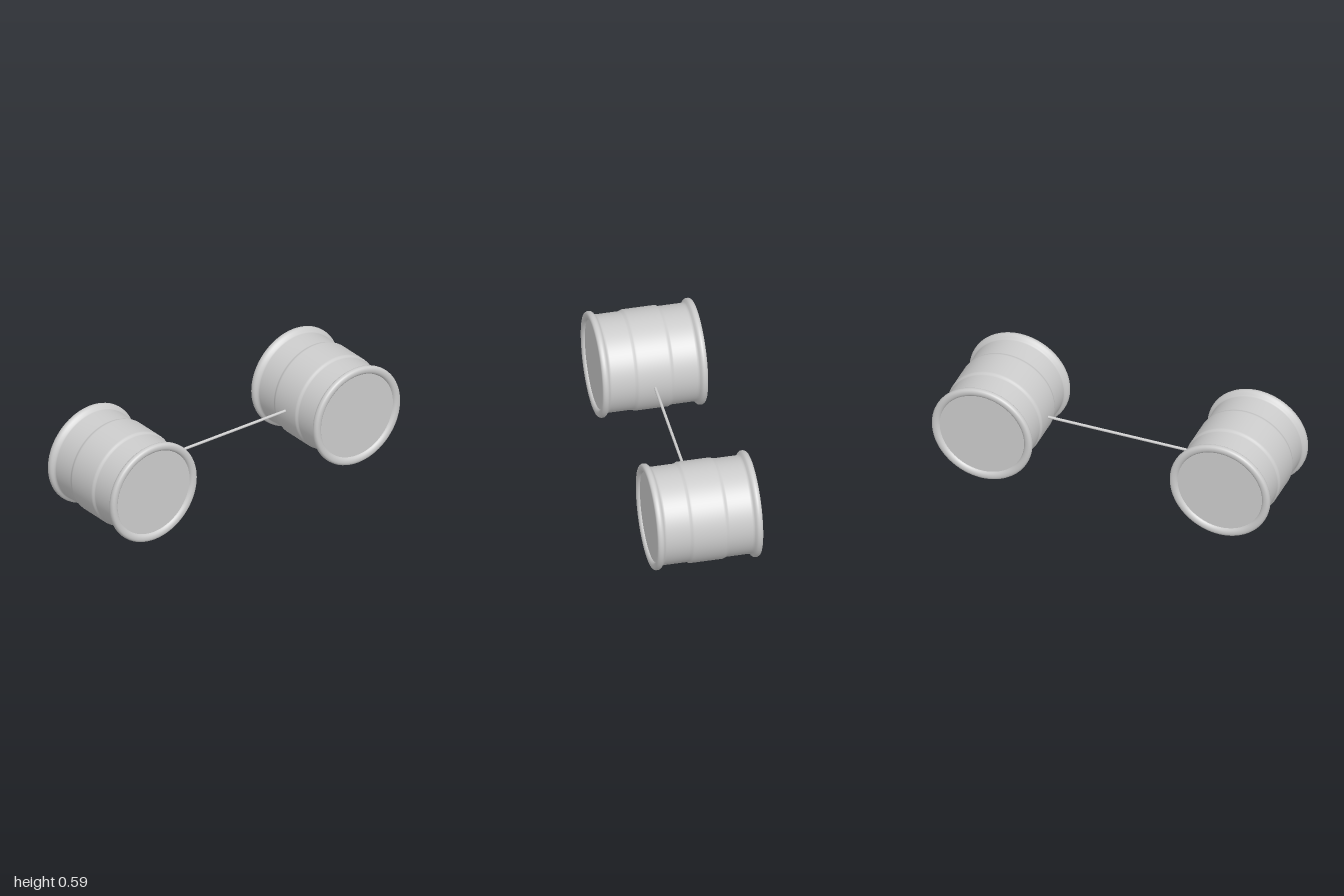
import * as THREE from 'three';

const R = 0.296;       // rim radius, also the height of the axis
const HEAD_Z = 0.28;   // depth of the recessed end plates
const HEAD_R = 0.25;

// Half of the drum wall as [radius, distance from middle]: band, waist, rolled rim
const HALF = [
  [0.281, 0.085], [0.281, 0.091], [0.2785, 0.098], [0.2742, 0.106], [0.273, 0.113],
  [0.273, 0.24], [0.2745, 0.248], [0.28, 0.254], [0.289, 0.26], [0.2945, 0.267],
  [0.296, 0.275], [0.2955, 0.283], [0.292, 0.291], [0.286, 0.2955], [0.278, 0.297],
  [0.268, 0.2965], [0.259, 0.293], [0.253, 0.287], [HEAD_R, HEAD_Z],
];

export function createModel() {
  const model = new THREE.Group();
  const grey = new THREE.MeshStandardMaterial({ color: 0xcccccc });
  grey.name = 'light grey';

  const add = (parent, name, geometry) => {
    const mesh = new THREE.Mesh(geometry, grey);
    mesh.name = name;
    parent.add(mesh);
    return mesh;
  };

  // Mirror the half profile and turn it so the drum axis lies along z
  const profile = [
    ...HALF.map(([r, z]) => new THREE.Vector2(r, -z)).reverse(),
    ...HALF.map(([r, z]) => new THREE.Vector2(r, z)),
  ];
  const wall = new THREE.LatheGeometry(profile, 72).rotateX(Math.PI / 2);
  const head = new THREE.CircleGeometry(HEAD_R + 0.001, 72);

  for (const side of [1, -1]) {
    const drum = new THREE.Group();
    drum.name = side > 0 ? 'leftDrum' : 'rightDrum';
    drum.position.set(side * (1 - R), R, 0);
    add(drum, 'drumWall', wall);
    add(drum, 'frontHead', head).position.z = HEAD_Z;
    const back = add(drum, 'backHead', head);
    back.position.z = -HEAD_Z;
    back.rotation.y = Math.PI;
    model.add(drum);
  }

  // Thin rod joining the two drums
  const rod = add(model, 'connectingRod',
    new THREE.CylinderGeometry(0.008, 0.008, 0.87, 20).rotateZ(Math.PI / 2));
  rod.position.y = R;

  return model;
}
